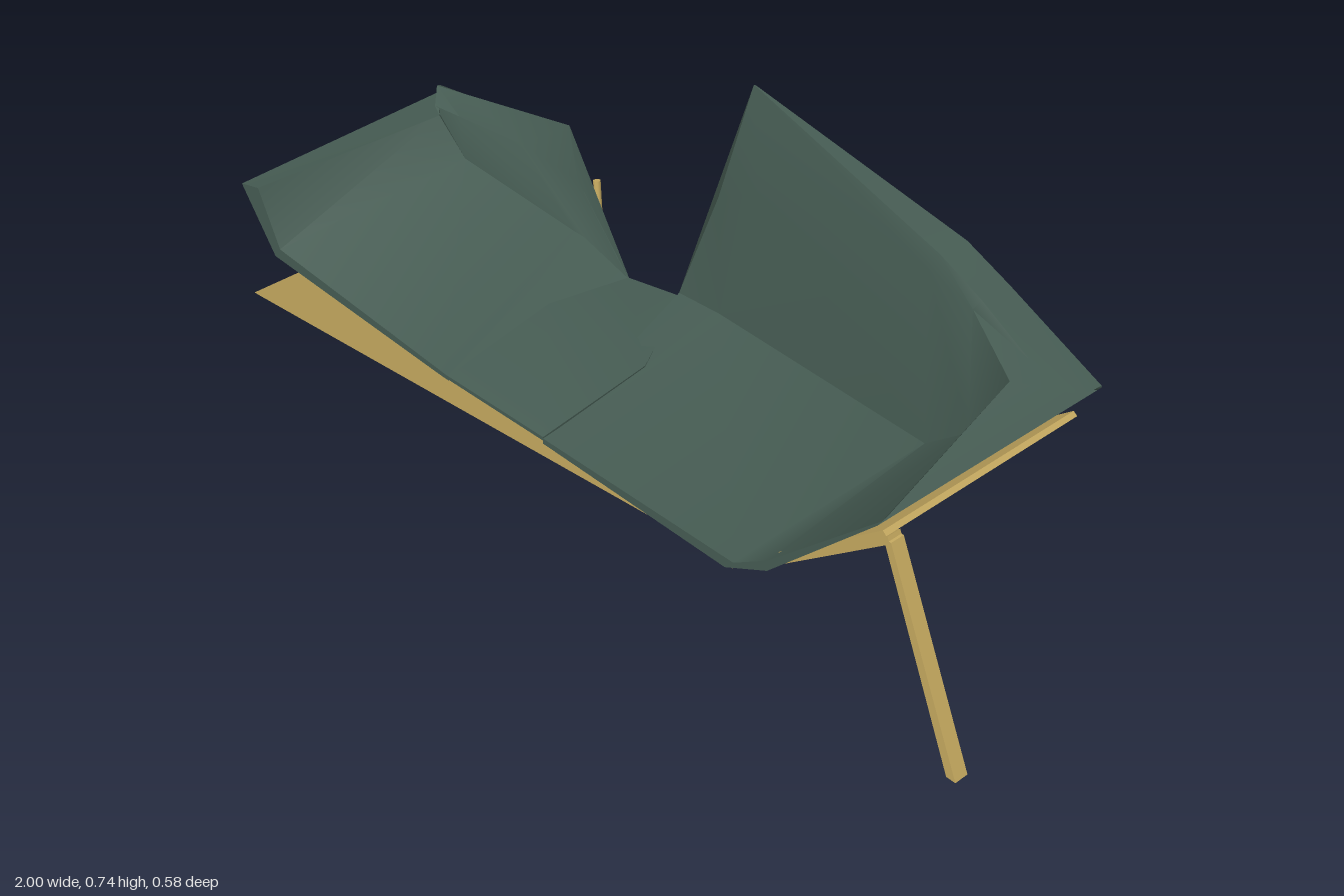
import * as THREE from 'three';
import { toCreasedNormals } from 'three/addons/utils/BufferGeometryUtils.js';

const fabric = new THREE.MeshStandardMaterial({ color: 0x465c53, side: THREE.DoubleSide });
fabric.name = 'dark green fabric';
const brass = new THREE.MeshStandardMaterial({ color: 0xc6aa60 });
brass.name = 'brass';

// Solid skin over closed cross-sections that run from -x to +x; the ends fan out from point 2
function loft(name, rings) {
  const n = rings[0].length, index = [];
  for (let i = 0; i < rings.length - 1; i++) {
    for (let j = 0; j < n; j++) {
      const a = i * n + j, b = i * n + (j + 1) % n, c = a + n, d = b + n;
      index.push(a, c, b, b, c, d);
    }
  }
  const last = (rings.length - 1) * n;
  for (let k = 3; k < n + 1; k++) {
    const j = k % n, m = (k + 1) % n;
    index.push(2, j, m, last + 2, last + m, last + j);
  }
  const geo = new THREE.BufferGeometry();
  geo.setAttribute('position', new THREE.Float32BufferAttribute(rings.flat(2), 3));
  geo.setIndex(index);
  const mesh = new THREE.Mesh(toCreasedNormals(geo, 0.7), fabric);
  mesh.name = name;
  return mesh;
}

// Straight round rod between two points
function rod(name, a, b, radius) {
  const p = new THREE.Vector3(...a), q = new THREE.Vector3(...b);
  const mesh = new THREE.Mesh(new THREE.CylinderGeometry(radius, radius, p.distanceTo(q), 12), brass);
  mesh.position.copy(p).lerp(q, 0.5);
  mesh.quaternion.setFromUnitVectors(new THREE.Vector3(0, 1, 0), q.sub(p).normalize());
  mesh.name = name;
  return mesh;
}

// Front outline extruded from z0 to z1
function plate(name, points, z0, z1) {
  const shape = new THREE.Shape(points.map(p => new THREE.Vector2(...p)));
  const geo = new THREE.ExtrudeGeometry(shape, { depth: z1 - z0, bevelEnabled: false });
  const mesh = new THREE.Mesh(geo.translate(0, 0, z0), brass);
  mesh.name = name;
  return mesh;
}

export function createModel() {
  const model = new THREE.Group();
  model.name = 'angularSofa';

  // Each ring: front bottom, front top, seat crease, back front, ridge, back rear, rear bottom
  model.add(loft('smallSeatAndBack', [
    [[-0.93, 0.32, 0.294], [-0.87, 0.335, 0.294], [-0.85, 0.343, -0.16], [-0.88, 0.35, -0.172],
      [-0.92, 0.37, -0.21], [-0.955, 0.345, -0.245], [-0.955, 0.33, -0.245]],
    [[-0.83, 0.19, 0.294], [-0.81, 0.215, 0.294], [-0.77, 0.27, -0.162], [-0.8, 0.355, -0.175],
      [-0.82, 0.388, -0.21], [-0.8, 0.36, -0.247], [-0.84, 0.19, -0.245]],
    [[-0.28, 0.172, 0.294], [-0.27, 0.182, 0.294], [-0.42, 0.245, -0.165], [-0.6, 0.37, -0.178],
      [-0.482, 0.45, -0.21], [-0.58, 0.37, -0.247], [-0.45, 0.178, -0.24]],
    [[-0.265, 0.172, 0.294], [-0.265, 0.182, 0.294], [-0.395, 0.24, -0.17], [-0.44, 0.345, -0.195],
      [-0.48, 0.45, -0.21], [-0.44, 0.345, -0.215], [-0.39, 0.18, -0.195]],
    [[-0.26, 0.172, 0.294], [-0.26, 0.182, 0.294], [-0.26, 0.205, -0.168], [-0.26, 0.205, -0.17],
      [-0.26, 0.204, -0.172], [-0.26, 0.2, -0.173], [-0.26, 0.175, -0.17]],
  ]));

  // Bridge between the two seats
  const bridge = (x0, x1, f, m, b) => [[x0, f - 0.008, 0.294], [x0, f, 0.294], [x0, m, 0.04],
    [x1, b, -0.17], [x1, b - 0.025, -0.17], [x0, m - 0.03, 0.04]];
  model.add(loft('seatBridge', [
    bridge(-0.26, -0.26, 0.182, 0.235, 0.205),
    bridge(0.02, -0.1, 0.19, 0.23, 0.235),
  ]));

  // As above, with a ridge that widens into a flat top (front edge, rear edge)
  model.add(loft('largeSeatAndBack', [
    [[0.02, 0.175, 0.294], [0.02, 0.187, 0.294], [-0.11, 0.24, -0.17], [-0.04, 0.475, -0.205],
      [0.033, 0.74, -0.219], [0.033, 0.74, -0.221], [-0.04, 0.475, -0.222], [-0.11, 0.18, -0.2]],
    [[0.03, 0.175, 0.294], [0.03, 0.187, 0.294], [0.02, 0.26, -0.155], [0.09, 0.55, -0.178],
      [0.037, 0.74, -0.219], [0.037, 0.74, -0.221], [0.09, 0.555, -0.253], [0, 0.175, -0.247]],
    [[0.5, 0.175, 0.294], [0.52, 0.197, 0.294], [0.55, 0.24, -0.155], [0.51, 0.585, -0.175],
      [0.53, 0.618, -0.183], [0.53, 0.617, -0.253], [0.52, 0.6, -0.255], [0.5, 0.174, -0.245]],
    [[0.6, 0.228, 0.294], [0.6, 0.25, 0.294], [0.65, 0.32, -0.15], [0.62, 0.555, -0.17],
      [0.63, 0.574, -0.18], [0.63, 0.573, -0.253], [0.63, 0.56, -0.255], [0.6, 0.255, -0.246]],
    [[0.835, 0.463, 0.294], [0.845, 0.478, 0.294], [0.765, 0.514, -0.1], [0.75, 0.522, -0.165],
      [0.845, 0.479, -0.2], [0.845, 0.476, -0.248], [0.845, 0.472, -0.25], [0.838, 0.463, -0.248]],
  ]));

  // Bent tray under the seats, slightly notched at the back below the bridge
  const flat = (x0, x1) => [[x0, 0.16], [x1, 0.158], [x1, 0.169], [x0, 0.171]];
  const bent = x => [[x, 0.159], [0.49, 0.15], [0.83, 0.423], [0.822, 0.43],
    [0.485, 0.16], [x, 0.17]];
  model.add(plate('trayFront', bent(-0.8), -0.17, 0.265));
  model.add(plate('trayBackLarge', bent(-0.11), -0.21, -0.17));
  model.add(plate('trayBackSmall', flat(-0.8, -0.39), -0.21, -0.17));

  // Tapering front rail, rising bar and front leg
  model.add(plate('frontRail', [[-1, 0], [-0.975, 0.002], [0.47, 0.144], [0.49, 0.158],
    [-0.8, 0.15]], 0.22, 0.25));
  model.add(plate('risingBar', [[0.47, 0.144], [0.55, 0.18], [0.825, 0.395], [0.82, 0.408],
    [0.47, 0.158]], 0.22, 0.25));
  model.add(plate('frontLeg', [[0.98, 0], [1, 0], [0.828, 0.4], [0.812, 0.4]], 0.22, 0.25));

  // Splayed rear leg
  model.add(rod('rearLegTop', [-0.26, 0.152, -0.13], [-0.26, 0.14, -0.2], 0.009));
  const foot = new THREE.Shape([[-0.011, 0], [0.011, 0], [0.023, -0.164], [-0.023, -0.164]]
    .map(p => new THREE.Vector2(...p)));
  const leg = new THREE.Mesh(
    new THREE.ExtrudeGeometry(foot, { depth: 0.016, bevelEnabled: false }).translate(0, 0, -0.008), brass);
  leg.position.set(-0.26, 0.143, -0.198);
  leg.rotation.x = Math.atan2(0.085, 0.14);
  leg.name = 'rearLeg';
  model.add(leg);

  // Two bent brackets that hold the backs
  for (const [inner, x, top, y] of [[-0.13, -0.1, -0.055, 0.33], [-0.38, -0.43, -0.452, 0.315]]) {
    const path = [[-0.26, 0.152, -0.15], [inner, 0.161, -0.16], [x, 0.168, -0.246], [top, y, -0.257]];
    for (let i = 0; i < 3; i++) model.add(rod('bracket', path[i], path[i + 1], 0.008));
  }
  return model;
}
